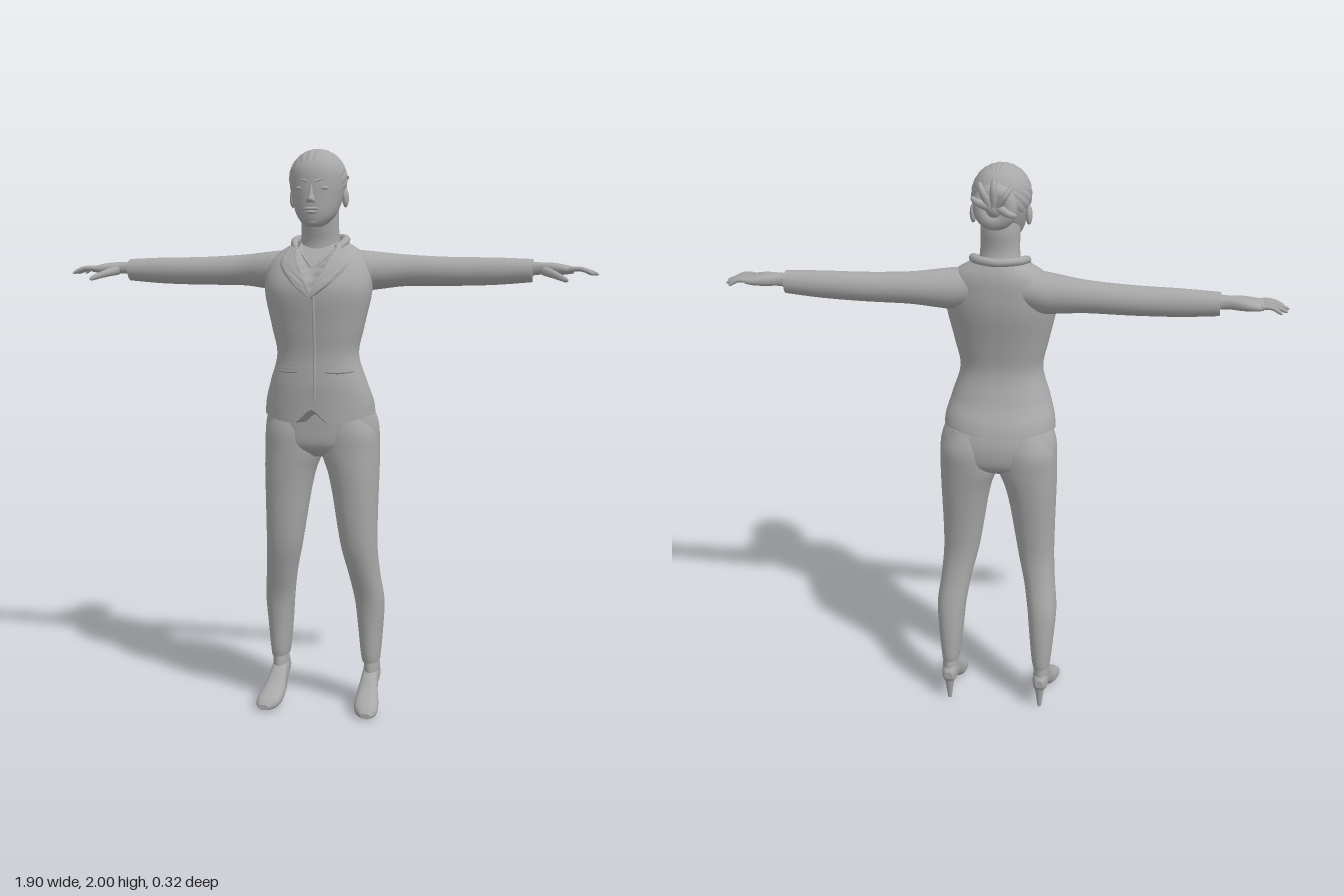
import * as THREE from 'three';

const grey = new THREE.MeshStandardMaterial({ color: 0xa8a8a8 });
grey.name = 'plain grey';
grey.side = THREE.DoubleSide;

const V = (x, y, z) => new THREE.Vector3(x, y, z);
const spow = (v, p) => Math.sign(v) * Math.pow(Math.abs(v), p);

// Catmull-Rom refinement of rows of numbers
function refine(rows, sub) {
  const out = [];
  for (let i = 0; i < rows.length - 1; i++) {
    const a = rows[Math.max(i - 1, 0)], b = rows[i], c = rows[i + 1], d = rows[Math.min(i + 2, rows.length - 1)];
    for (let s = 0; s < sub; s++) {
      const t = s / sub;
      out.push(b.map((_, k) => 0.5 * (2 * b[k] + (c[k] - a[k]) * t + (2 * a[k] - 5 * b[k] + 4 * c[k] - d[k]) * t * t
        + (3 * b[k] - a[k] - 3 * c[k] + d[k]) * t * t * t)));
    }
  }
  out.push(rows[rows.length - 1]);
  return out;
}

// Loft through rounded sections [t, u0, u1, v0, v1]; axis y: u=z v=x, axis x: u=y v=z, axis z: u=x v=y
function loft(rows, axis, { n = 2, segs = 32, sub = 5, rule } = {}) {
  const k = 'xyz'.indexOf(axis), pos = [], idx = [];
  const dense = refine(rows, sub), rings = [];
  const mid = r => [r[0], (r[1] + r[2]) / 2, (r[1] + r[2]) / 2, (r[3] + r[4]) / 2, (r[3] + r[4]) / 2];
  const first = dense[0], last = dense[dense.length - 1];
  rings.push(mid(first), first, ...dense, last, mid(last));
  for (const [t, u0, u1, v0, v1] of rings) {
    for (let j = 0; j < segs; j++) {
      const a = j / segs * Math.PI * 2, p = [0, 0, 0];
      p[k] = t;
      p[(k + 1) % 3] = (u0 + u1) / 2 + (u1 - u0) / 2 * spow(Math.cos(a), 2 / n);
      p[(k + 2) % 3] = (v0 + v1) / 2 + (v1 - v0) / 2 * spow(Math.sin(a), 2 / n);
      if (rule) rule(p);
      pos.push(...p);
    }
  }
  for (let i = 0; i < rings.length - 1; i++) {
    if (i === 1 || i === rings.length - 3) continue; // doubled ring keeps the cap edge sharp
    for (let j = 0; j < segs; j++) {
      const a = i * segs + j, b = i * segs + (j + 1) % segs, c = b + segs, d = a + segs;
      idx.push(a, b, c, a, c, d);
    }
  }
  const g = new THREE.BufferGeometry();
  g.setAttribute('position', new THREE.Float32BufferAttribute(pos, 3));
  g.setIndex(idx);
  g.computeVertexNormals();
  return g;
}

// Tapering round strand along a curve, with a rounded tip
function strand(pts, r0, r1, segs = 14) {
  const curve = new THREE.CatmullRomCurve3(pts);
  const g = new THREE.TubeGeometry(curve, segs, 1, 10), p = g.attributes.position, v = V();
  for (let i = 0; i < p.count; i++) {
    const t = Math.floor(i / 11) / segs, c = curve.getPointAt(t);
    const tip = t > 0.85 ? Math.sqrt(Math.max(0, 1 - ((t - 0.85) / 0.15) ** 2)) : 1;
    v.fromBufferAttribute(p, i).sub(c).multiplyScalar((r0 + (r1 - r0) * t) * tip).add(c);
    p.setXYZ(i, v.x, v.y, v.z);
  }
  return g;
}

const ball = (x, y, z, rx, ry, rz) => new THREE.SphereGeometry(1, 20, 14).scale(rx, ry, rz).translate(x, y, z);

function mirrored(g) {
  const m = g.clone().scale(-1, 1, 1), ix = m.index;
  for (let i = 0; i < ix.count; i += 3) {
    const a = ix.getX(i); ix.setX(i, ix.getX(i + 2)); ix.setX(i + 2, a);
  }
  return m;
}

// Jacket body sections: y, back, front, right, left
const torsoRows = [
  [1.06, -0.14, 0.137, -0.195, 0.195], [1.12, -0.125, 0.138, -0.19, 0.19], [1.2, -0.095, 0.14, -0.172, 0.172],
  [1.3, -0.067, 0.136, -0.144, 0.144], [1.4, -0.077, 0.146, -0.163, 0.163], [1.52, -0.1, 0.156, -0.188, 0.188],
  [1.6, -0.104, 0.122, -0.18, 0.18], [1.65, -0.1, 0.08, -0.148, 0.148], [1.69, -0.085, 0.04, -0.085, 0.085]];
const torsoDense = refine(torsoRows, 10), TN = 2.25;
function frontZ(x, y) {
  const r = torsoDense.find(q => q[0] >= y) || torsoDense[torsoDense.length - 1];
  const e = Math.min(1, Math.abs(x) / r[4]);
  return (r[1] + r[2]) / 2 + (r[2] - r[1]) / 2 * Math.pow(1 - Math.pow(e, TN), 1 / TN);
}
const onFront = (x, y, lift) => V(x, y, frontZ(x, y) + lift);

// Thin strip lying on the jacket front between two edge curves of [x, y]
function applique(inner, outer, lift) {
  const curve = e => new THREE.CatmullRomCurve3(e.map(q => V(q[0], q[1], 0)));
  const a = curve(inner), b = curve(outer), pos = [], idx = [], N = 20, M = 8;
  for (let i = 0; i <= N; i++) for (let j = 0; j <= M; j++) {
    const q = a.getPoint(i / N).lerp(b.getPoint(i / N), j / M);
    const f = onFront(q.x, q.y, j === M ? -0.004 : lift);
    pos.push(f.x, f.y, f.z);
    if (i < N && j < M) {
      const s = i * (M + 1) + j;
      idx.push(s, s + M + 1, s + 1, s + 1, s + M + 1, s + M + 2);
    }
  }
  const g = new THREE.BufferGeometry();
  g.setAttribute('position', new THREE.Float32BufferAttribute(pos, 3));
  g.setIndex(idx);
  g.computeVertexNormals();
  return g;
}

export function createModel() {
  const model = new THREE.Group();
  model.name = 'woman in trouser suit';
  const add = (name, g) => { const m = new THREE.Mesh(g, grey); m.name = name; model.add(m); };
  const pair = (name, g) => { add('left ' + name, g); add('right ' + name, mirrored(g)); };

  // Jacket: curved hem and sunken neckline
  add('jacket', loft(torsoRows, 'y', { n: TN, segs: 96, sub: 10, rule: p => {
    const w = Math.min(1, Math.max(0, (1.2 - p[1]) / 0.13));
    const half = 0.07 * (p[1] - 1.52) / 0.16;
    if (p[2] > 0.02 && Math.abs(p[0]) < half) p[2] -= 0.014;
    p[1] += w * (0.03 * (p[0] / 0.19) ** 2 + (p[2] > 0 ? 0.055 * Math.exp(-((p[0] / 0.04) ** 2)) : -p[2] * 0.25));
  } }));
  pair('lapel', applique([[0.078, 1.69], [0.062, 1.63], [0.03, 1.57], [0.0, 1.51]],
    [[0.1, 1.675], [0.125, 1.615], [0.075, 1.55], [0.004, 1.495]], 0.009));
  add('collar', strand([V(0.075, 1.665, 0.055), V(0.09, 1.69, 0.0), V(0.07, 1.7, -0.06), V(0, 1.7, -0.088),
    V(-0.07, 1.7, -0.06), V(-0.09, 1.69, 0.0), V(-0.075, 1.665, 0.055)], 0.014, 0.014, 40));
  add('jacket opening', strand([1.51, 1.45, 1.38, 1.3, 1.22, 1.13].map(y => onFront(0.012, y, 0)), 0.005, 0.005, 24));
  pair('pocket flap', applique([[0.05, 1.27], [0.095, 1.265], [0.14, 1.265]], [[0.05, 1.24], [0.095, 1.237], [0.14, 1.243]], 0.009));
  pair('blouse neckline', strand([[0.065, 1.665], [0.035, 1.63], [0.002, 1.595]].map(q => onFront(q[0], q[1], -0.011)), 0.004, 0.004));

  // Sleeves and hands
  pair('sleeve', loft([[0.07, 1.54, 1.665, -0.09, 0.04], [0.15, 1.52, 1.658, -0.1, 0.05], [0.21, 1.525, 1.652, -0.101, 0.032],
    [0.3, 1.535, 1.643, -0.101, 0.006], [0.45, 1.536, 1.635, -0.1, -0.002], [0.6, 1.54, 1.633, -0.095, -0.01],
    [0.728, 1.55, 1.628, -0.09, -0.016]], 'x'));
  pair('hand', loft([[0.7, 1.568, 1.618, -0.082, -0.028], [0.75, 1.575, 1.617, -0.079, -0.026], [0.8, 1.574, 1.615, -0.092, -0.01],
    [0.84, 1.576, 1.608, -0.096, 0.0], [0.865, 1.58, 1.602, -0.09, -0.006]], 'x', { n: 2.5, segs: 24 }));
  [[-0.082, 0.925, -0.087, 0.009], [-0.059, 0.944, -0.06, 0.01], [-0.035, 0.95, -0.028, 0.01], [-0.012, 0.935, 0.004, 0.01]]
    .forEach(([z, tx, tz, r], i) => pair('finger ' + (i + 1),
      strand([V(0.835, 1.592, z), V(0.89, 1.594, (z + tz) / 2), V(tx, 1.575, tz)], r, 0.006)));
  pair('thumb', strand([V(0.77, 1.588, -0.03), V(0.81, 1.573, 0.012), V(0.852, 1.555, 0.045)], 0.017, 0.008));

  // Trousers
  add('trouser seat', loft([[0.935, -0.08, 0.03, -0.1, 0.1], [0.975, -0.132, 0.074, -0.195, 0.195], [1.05, -0.14, 0.08, -0.204, 0.204],
    [1.12, -0.12, 0.08, -0.18, 0.18], [1.18, -0.09, 0.08, -0.15, 0.15]], 'y', { n: 2.3, segs: 48 }));
  pair('trouser leg', loft([[0.165, -0.146, -0.032, 0.141, 0.203], [0.2, -0.15, -0.025, 0.135, 0.207], [0.3, -0.147, -0.02, 0.125, 0.216],
    [0.4, -0.135, -0.008, 0.115, 0.221], [0.5, -0.112, 0.022, 0.098, 0.21], [0.6, -0.1, 0.05, 0.075, 0.203],
    [0.7, -0.106, 0.063, 0.058, 0.203], [0.8, -0.118, 0.07, 0.042, 0.205], [0.88, -0.129, 0.075, 0.024, 0.207],
    [0.95, -0.138, 0.077, 0.0, 0.207], [1.03, -0.142, 0.077, 0.0, 0.203], [1.1, -0.12, 0.06, 0.02, 0.17]], 'y', { n: 2.2 }));

  // High-heeled shoes
  pair('ankle', loft([[0.08, -0.14, -0.05, 0.148, 0.198], [0.13, -0.147, -0.042, 0.144, 0.202], [0.2, -0.138, -0.055, 0.15, 0.198]], 'y'));
  pair('shoe', loft([[-0.155, 0.158, 0.187, 0.095, 0.125], [-0.14, 0.148, 0.197, 0.072, 0.142], [-0.11, 0.143, 0.202, 0.066, 0.152],
    [-0.07, 0.141, 0.203, 0.054, 0.145], [-0.03, 0.138, 0.208, 0.026, 0.115], [0.0, 0.134, 0.216, 0.008, 0.085],
    [0.04, 0.135, 0.223, 0.001, 0.062], [0.075, 0.145, 0.223, 0.0, 0.046], [0.1, 0.17, 0.208, 0.005, 0.024]], 'z', { n: 2.3 }));
  pair('heel', new THREE.CylinderGeometry(0.02, 0.007, 0.1, 14).translate(0.172, 0.05, -0.131));

  // Neck and head
  add('neck', loft([[1.62, -0.085, 0.06, -0.085, 0.085], [1.68, -0.068, 0.052, -0.071, 0.071], [1.73, -0.055, 0.06, -0.066, 0.066],
    [1.79, -0.058, 0.07, -0.066, 0.066], [1.84, -0.05, 0.06, -0.06, 0.06]], 'y'));
  add('head', loft([[1.735, 0.075, 0.118, -0.022, 0.022], [1.75, 0.02, 0.131, -0.045, 0.045], [1.78, -0.02, 0.138, -0.068, 0.068],
    [1.83, -0.055, 0.14, -0.085, 0.085], [1.88, -0.068, 0.139, -0.095, 0.095], [1.93, -0.068, 0.132, -0.094, 0.094],
    [1.97, -0.045, 0.105, -0.07, 0.07], [1.99, -0.01, 0.072, -0.04, 0.04], [1.997, 0.02, 0.04, -0.01, 0.01]], 'y', { n: 2.1, segs: 40 }));
  add('nose', loft([[1.815, 0.12, 0.146, -0.016, 0.016], [1.825, 0.12, 0.157, -0.015, 0.015], [1.845, 0.12, 0.15, -0.009, 0.009],
    [1.875, 0.12, 0.141, -0.007, 0.007]], 'y', { segs: 16 }));
  add('upper lip', ball(0, 1.795, 0.134, 0.027, 0.006, 0.012));
  add('lower lip', ball(0, 1.784, 0.132, 0.022, 0.007, 0.012));
  add('chin', ball(0, 1.755, 0.116, 0.026, 0.018, 0.017));
  pair('eye', ball(0.038, 1.863, 0.122, 0.018, 0.008, 0.012));
  pair('eyebrow', strand([V(0.014, 1.885, 0.137), V(0.04, 1.892, 0.126), V(0.066, 1.884, 0.104)], 0.005, 0.003));
  pair('ear', ball(0.093, 1.835, 0.018, 0.011, 0.032, 0.02));

  // Combed-back hair with ridges running to the bun
  const hair = new THREE.SphereGeometry(1, 144, 32, 0, Math.PI * 2, 0, Math.PI * 0.62), hp = hair.attributes.position;
  for (let i = 0; i < hp.count; i++) {
    const a = Math.atan2(hp.getZ(i), hp.getX(i)), s = Math.hypot(hp.getX(i), hp.getZ(i));
    const k = 1 - 0.025 * s * Math.pow(Math.abs(Math.cos(a * 12)), 6);
    hp.setXYZ(i, hp.getX(i) * k, hp.getY(i) * k, hp.getZ(i) * k);
  }
  hair.rotateX(-1.0).scale(0.1, 0.103, 0.108).translate(0, 1.897, 0.032).computeVertexNormals();
  add('hair', hair);
  add('bun coil', new THREE.TorusGeometry(0.04, 0.026, 14, 32).scale(1.1, 1.15, 1.1).translate(0, 1.885, -0.098));
  add('bun centre', ball(0, 1.885, -0.1, 0.034, 0.036, 0.036));
  [[-0.055, 1.95], [0.0, 1.98], [0.05, 1.965], [0.075, 1.915], [-0.07, 1.86]].forEach(([x, y], i) =>
    add('bun tuft ' + (i + 1), strand([V(x * 0.2, 1.89, -0.12), V(x * 0.7, 1.89 + (y - 1.89) * 0.65, -0.128), V(x, y, -0.105)], 0.016, 0.007)));
  return model;
}
